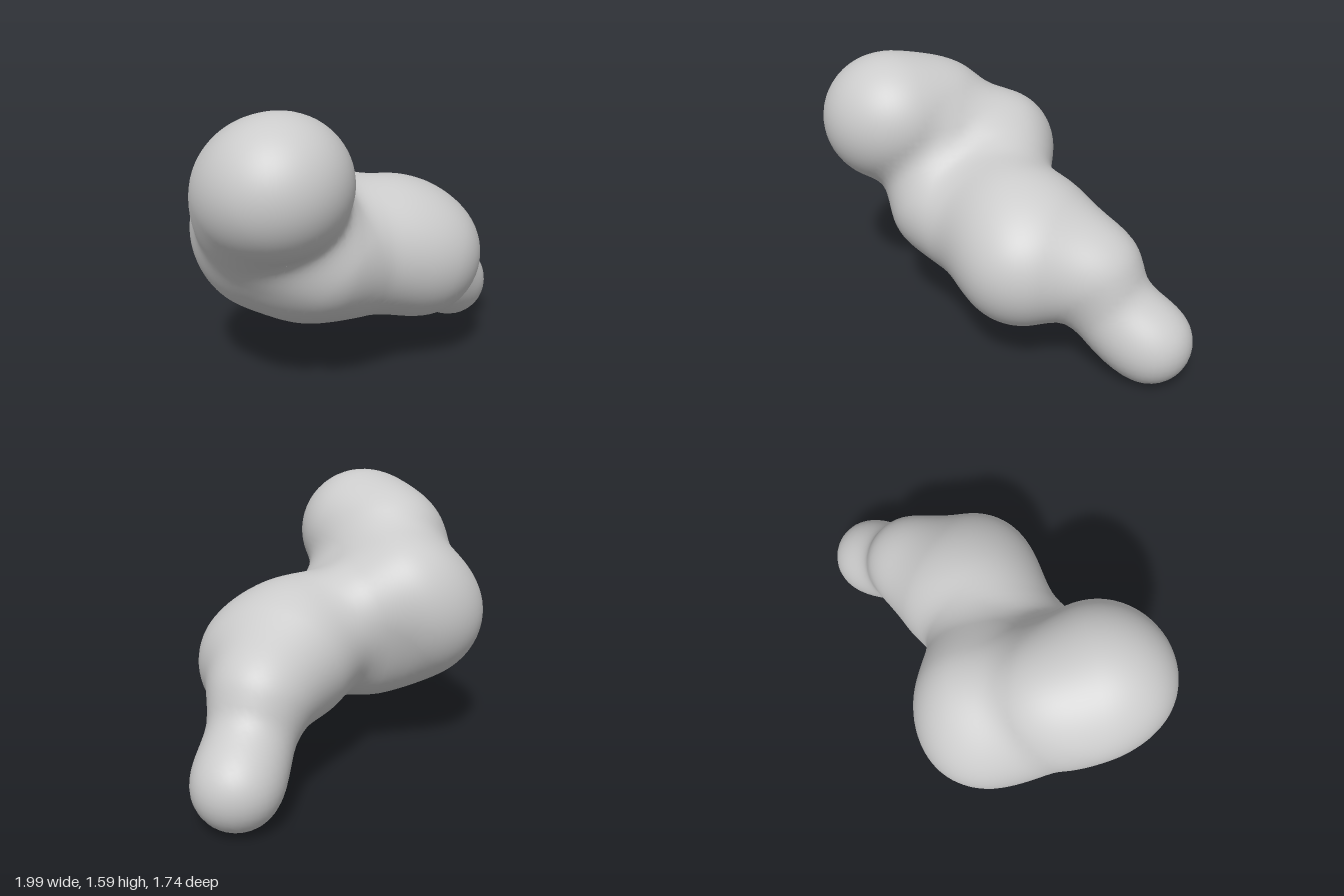
import * as THREE from 'three';

// Lobes of the body: x, y, z, radius
const LOBES = [
  [-0.58, 1.20, 0.50, 0.365],  // upper front knob
  [-0.65, 1.13, 0.31, 0.325],  // knob, wide side
  [-0.49, 1.23, 0.44, 0.31],   // knob, crown
  [-0.57, 1.19, 0.16, 0.30],   // bridge behind the knob
  [-0.62, 0.94, 0.19, 0.31],   // flank under the knob
  [-0.42, 0.98, 0.13, 0.29],   // core between knob and belly
  [-0.45, 1.00, -0.16, 0.31],  // rear bump
  [-0.59, 0.85, -0.15, 0.365], // rear lobe
  [-0.54, 0.75, 0.00, 0.355],  // lower rear lobe
  [-0.20, 0.88, -0.10, 0.27],  // saddle
  [-0.28, 0.74, 0.21, 0.345],  // front belly
  [-0.31, 0.66, 0.02, 0.325],  // lower belly
  [0.00, 0.66, 0.09, 0.30],    // waist
  [0.13, 0.765, -0.06, 0.35],  // middle
  [0.34, 0.645, -0.04, 0.38],  // middle, outer side
  [0.28, 0.68, -0.20, 0.32],   // middle, back
  [0.52, 0.60, -0.38, 0.28],   // shoulder of the tail
  [0.64, 0.35, -0.49, 0.215],  // tail neck
  [0.765, 0.24, -0.635, 0.237], // tail tip
];
const BLEND = 0.16;

// Distance to the smoothly blended lobes
function field(x, y, z) {
  let d = Infinity;
  for (const [cx, cy, cz, r] of LOBES) {
    const e = Math.hypot(x - cx, y - cy, z - cz) - r;
    if (d === Infinity) { d = e; continue; }
    const h = Math.max(BLEND - Math.abs(d - e), 0) / BLEND;
    d = Math.min(d, e) - h * h * BLEND / 4;
  }
  return d;
}

function gradient(p) {
  const e = 0.012;
  return new THREE.Vector3(
    field(p.x + e, p.y, p.z) - field(p.x - e, p.y, p.z),
    field(p.x, p.y + e, p.z) - field(p.x, p.y - e, p.z),
    field(p.x, p.y, p.z + e) - field(p.x, p.y, p.z - e)
  ).normalize();
}

// Skin the field: one vertex per crossed cell, one quad per crossed grid edge
function skin() {
  const n = 56, step = 0.04, origin = [-1.12, -0.1, -1.1];
  const at = (i, j, k) => (i * n + j) * n + k;
  const values = new Float32Array(n * n * n);
  for (let i = 0; i < n; i++) for (let j = 0; j < n; j++) for (let k = 0; k < n; k++) {
    values[at(i, j, k)] = field(origin[0] + i * step, origin[1] + j * step, origin[2] + k * step);
  }

  const positions = [], normals = [], indices = [];
  const cellVertex = new Int32Array(n * n * n).fill(-1);
  for (let i = 0; i < n - 1; i++) for (let j = 0; j < n - 1; j++) for (let k = 0; k < n - 1; k++) {
    let inside = 0;
    for (let c = 0; c < 8; c++) {
      if (values[at(i + (c & 1), j + ((c >> 1) & 1), k + (c >> 2))] < 0) inside++;
    }
    if (inside === 0 || inside === 8) continue;
    // Start at the cell centre and slide onto the surface
    const p = new THREE.Vector3(
      origin[0] + (i + 0.5) * step, origin[1] + (j + 0.5) * step, origin[2] + (k + 0.5) * step);
    for (let s = 0; s < 3; s++) p.addScaledVector(gradient(p), -field(p.x, p.y, p.z));
    cellVertex[at(i, j, k)] = positions.length / 3;
    positions.push(p.x, p.y, p.z);
    normals.push(...gradient(p).toArray());
  }

  const stride = [n * n, n, 1];
  for (let i = 1; i < n - 1; i++) for (let j = 1; j < n - 1; j++) for (let k = 1; k < n - 1; k++) {
    const here = at(i, j, k);
    for (let axis = 0; axis < 3; axis++) {
      const inside = values[here] < 0;
      if (inside === values[here + stride[axis]] < 0) continue;
      const u = stride[(axis + 1) % 3], v = stride[(axis + 2) % 3];
      const [a, b, c, d] = [here - u - v, here - v, here, here - u].map((q) => cellVertex[q]);
      if (inside) indices.push(a, b, c, a, c, d);
      else indices.push(a, c, b, a, d, c);
    }
  }

  const geometry = new THREE.BufferGeometry();
  geometry.setAttribute('position', new THREE.Float32BufferAttribute(positions, 3));
  geometry.setAttribute('normal', new THREE.Float32BufferAttribute(normals, 3));
  geometry.setIndex(indices);
  return geometry;
}

export function createModel() {
  const group = new THREE.Group();
  const body = new THREE.Mesh(skin(), new THREE.MeshStandardMaterial({ color: 0xcccccc }));
  body.name = 'lobedBody';
  group.add(body);
  return group;
}
